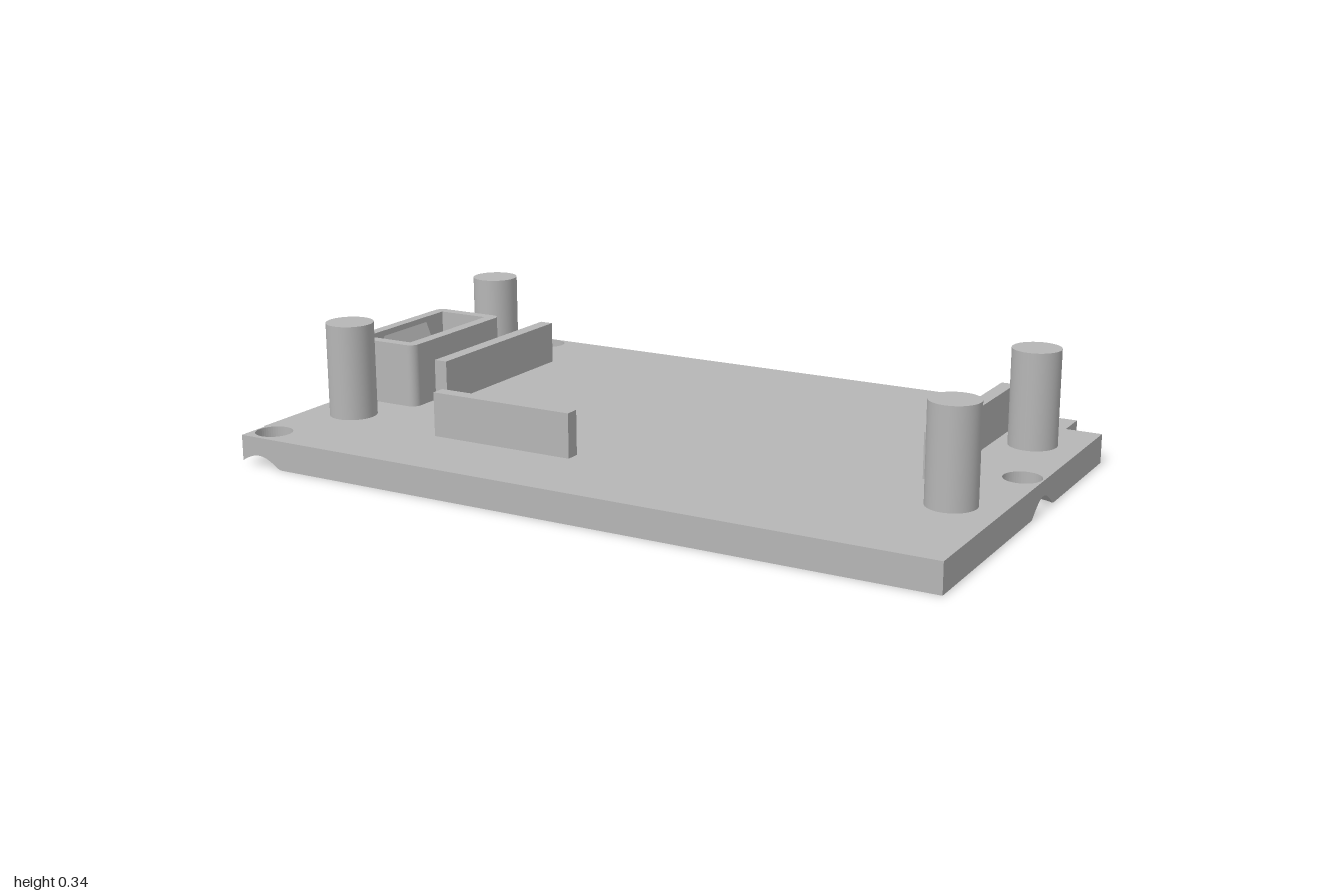
import * as THREE from 'three';

const TOP = 0.08;        // plate thickness
const SINK = 0.045;      // countersink depth
const R0 = 0.05, R1 = 0.095; // screw hole radius, countersink radius

// Plate outline as [x, z], starting at the front left corner
const outline = [
  [-0.995, 0.655], [1, 0.655], [1, -0.465], [0.9, -0.465], [0.9, -0.56], [0.8, -0.56],
  [0.8, -0.655], [-0.995, -0.655], [-0.995, -0.56], [-1, -0.56], [-1, 0.56], [-0.995, 0.56],
];
const holes = [[0.945, 0], [-0.845, -0.603], [-0.94, 0.59]];

function slotPath() {
  const p = new THREE.Path(), x0 = -0.91, x1 = -0.825, z0 = -0.095, z1 = 0.095, r = 0.025;
  p.absarc(x1 - r, z1 - r, r, 0, Math.PI / 2);
  p.absarc(x0 + r, z1 - r, r, Math.PI / 2, Math.PI);
  p.absarc(x0 + r, z0 + r, r, Math.PI, Math.PI * 1.5);
  p.absarc(x1 - r, z0 + r, r, Math.PI * 1.5, Math.PI * 2);
  p.closePath();
  return p;
}

// Extrude an x/z shape between two heights
function slab(shape, y0, y1) {
  return new THREE.ExtrudeGeometry(shape, { depth: y1 - y0, bevelEnabled: false, curveSegments: 24 })
    .rotateX(Math.PI / 2).translate(0, y1, 0);
}

// Height of the countersink cone above a point, 0 outside it
function sinkHeight(x, z) {
  let y = 0;
  for (const [cx, cz] of holes) {
    y = Math.max(y, SINK * (R1 - Math.hypot(x - cx, z - cz)) / (R1 - R0));
  }
  return Math.min(y, SINK);
}

// Lower side walls, arched where a countersink breaks through
function wallGeometry() {
  const pos = [];
  outline.forEach(([ax, az], i) => {
    const [bx, bz] = outline[(i + 1) % outline.length];
    const n = Math.max(1, Math.ceil(Math.hypot(bx - ax, bz - az) / 0.008));
    for (let k = 0; k < n; k++) {
      const [p, q] = [k / n, (k + 1) / n].map(t => {
        const x = ax + (bx - ax) * t, z = az + (bz - az) * t;
        return [x, sinkHeight(x, z), z];
      });
      const pt = [p[0], SINK, p[2]], qt = [q[0], SINK, q[2]];
      pos.push(...p, ...q, ...qt, ...p, ...qt, ...pt);
    }
  });
  const g = new THREE.BufferGeometry();
  g.setAttribute('position', new THREE.Float32BufferAttribute(pos, 3));
  g.computeVertexNormals();
  return g;
}

// Distance from a point to the outline along a direction
function edgeDistance(cx, cz, dx, dz) {
  let best = Infinity;
  outline.forEach(([ax, az], i) => {
    const [bx, bz] = outline[(i + 1) % outline.length];
    const ex = bx - ax, ez = bz - az, den = dx * ez - dz * ex;
    if (Math.abs(den) < 1e-9) return;
    const t = ((ax - cx) * ez - (az - cz) * ex) / den;
    const s = ((ax - cx) * dz - (az - cz) * dx) / den;
    if (t > 0 && s >= -1e-6 && s <= 1 + 1e-6) best = Math.min(best, t);
  });
  return best;
}

// Countersink cone trimmed at the plate edges
function sinkGeometry([cx, cz]) {
  const pos = [], index = [], n = 96;
  for (let i = 0; i <= n; i++) {
    const a = i / n * Math.PI * 2, dx = Math.cos(a), dz = Math.sin(a);
    const r = Math.max(R0, Math.min(R1, edgeDistance(cx, cz, dx, dz)));
    pos.push(cx + dx * R0, SINK, cz + dz * R0);
    pos.push(cx + dx * r, SINK * (R1 - r) / (R1 - R0), cz + dz * r);
    if (i < n) {
      const k = i * 2;
      index.push(k, k + 1, k + 3, k, k + 3, k + 2);
    }
  }
  const g = new THREE.BufferGeometry();
  g.setAttribute('position', new THREE.Float32BufferAttribute(pos, 3));
  g.setIndex(index);
  g.computeVertexNormals();
  return g;
}

// Underside with the countersinks cut out of its edges
function undersideGeometry() {
  const s = new THREE.Shape(), PI = Math.PI;
  const reach = d => Math.sqrt(R1 * R1 - d * d);
  const [[ax, az], [bx, bz], [cx, cz]] = holes;
  const a = Math.atan2(reach(1 - ax), 1 - ax);
  const b = Math.atan2(bz + 0.655, reach(bz + 0.655));
  const c0 = Math.atan2(-reach(cx + 1), -1 - cx);
  const c1 = Math.atan2(0.655 - cz, reach(0.655 - cz));
  s.moveTo(1, 0.655);
  s.absarc(ax, az, R1, a, 2 * PI - a, false);
  outline.slice(2, 7).forEach(p => s.lineTo(...p));
  s.absarc(bx, bz, R1, -b, PI + b, false);
  outline.slice(7, 10).forEach(p => s.lineTo(...p));
  s.absarc(cx, cz, R1, c0, c1, false);
  s.closePath();
  s.holes.push(slotPath());
  return new THREE.ShapeGeometry(s, 32).rotateX(Math.PI / 2);
}

export function createModel() {
  const model = new THREE.Group();
  const grey = new THREE.MeshStandardMaterial({ color: 0xb6b6b6, side: THREE.DoubleSide });
  grey.name = 'grey plastic';
  const add = (name, geometry, parent = model) => {
    const m = new THREE.Mesh(geometry, grey);
    m.name = name;
    parent.add(m);
    return m;
  };
  const box = (name, x0, x1, y0, y1, z0, z1) => add(name,
    new THREE.BoxGeometry(x1 - x0, y1 - y0, z1 - z0)
      .translate((x0 + x1) / 2, (y0 + y1) / 2, (z0 + z1) / 2));

  // Base plate
  const plate = new THREE.Group();
  plate.name = 'basePlate';
  model.add(plate);
  const top = new THREE.Shape(outline.map(p => new THREE.Vector2(...p)));
  for (const [x, z] of holes) top.holes.push(new THREE.Path().absarc(x, z, R0, 0, Math.PI * 2));
  top.holes.push(slotPath());
  add('plateTop', slab(top, SINK, TOP), plate);
  add('plateEdge', wallGeometry(), plate);
  add('plateUnderside', undersideGeometry(), plate);
  holes.forEach(h => add('countersink', sinkGeometry(h), plate));
  const slotWall = slotPath().getPoints(8);
  const pos = [];
  slotWall.forEach((p, i) => {
    const q = slotWall[(i + 1) % slotWall.length];
    pos.push(p.x, 0, p.y, q.x, 0, q.y, q.x, SINK, q.y, p.x, 0, p.y, q.x, SINK, q.y, p.x, SINK, p.y);
  });
  const slot = new THREE.BufferGeometry();
  slot.setAttribute('position', new THREE.Float32BufferAttribute(pos, 3));
  slot.computeVertexNormals();
  add('slotWall', slot, plate);

  // Posts
  for (const side of [-1, 1]) {
    for (const [x, z] of [[-0.865, 0.347], [0.87, 0.285]]) {
      add('post', new THREE.CylinderGeometry(0.065, 0.065, 0.26, 48).translate(x, 0.21, z * side));
    }
  }

  // Ribs
  box('rightRib', -0.745, -0.706, TOP, 0.2, -0.412, 0.13);
  box('leftRib', 0.733, 0.772, TOP, 0.2, -0.412, 0.13);
  box('frontRib', -0.54, -0.12, TOP, 0.2, 0.375, 0.414);

  // Socket around the slot
  const x0 = -0.974, x1 = -0.756, w = 0.212, r = 0.025;
  const frame = new THREE.Shape();
  frame.absarc(x1 - r, w - r, r, 0, Math.PI / 2);
  frame.absarc(x0 + r, w - r, r, Math.PI / 2, Math.PI);
  frame.absarc(x0 + r, r - w, r, Math.PI, Math.PI * 1.5);
  frame.absarc(x1 - r, r - w, r, Math.PI * 1.5, Math.PI * 2);
  frame.closePath();
  frame.holes.push(new THREE.Path([[-0.943, -0.18], [-0.79, -0.18], [-0.79, 0.18], [-0.943, 0.18]]
    .map(p => new THREE.Vector2(...p))));
  add('socket', slab(frame, TOP, 0.256));

  // Sloped catches inside the socket
  for (const [x, dir] of [[-0.943, 1], [-0.79, -1]]) {
    const catchShape = new THREE.Shape([[x, 0.24], [x + 0.016 * dir, 0.2], [x, 0.185]]
      .map(p => new THREE.Vector2(...p)));
    add('catch', new THREE.ExtrudeGeometry(catchShape, { depth: 0.2, bevelEnabled: false }).translate(0, 0, -0.1));
  }
  return model;
}
